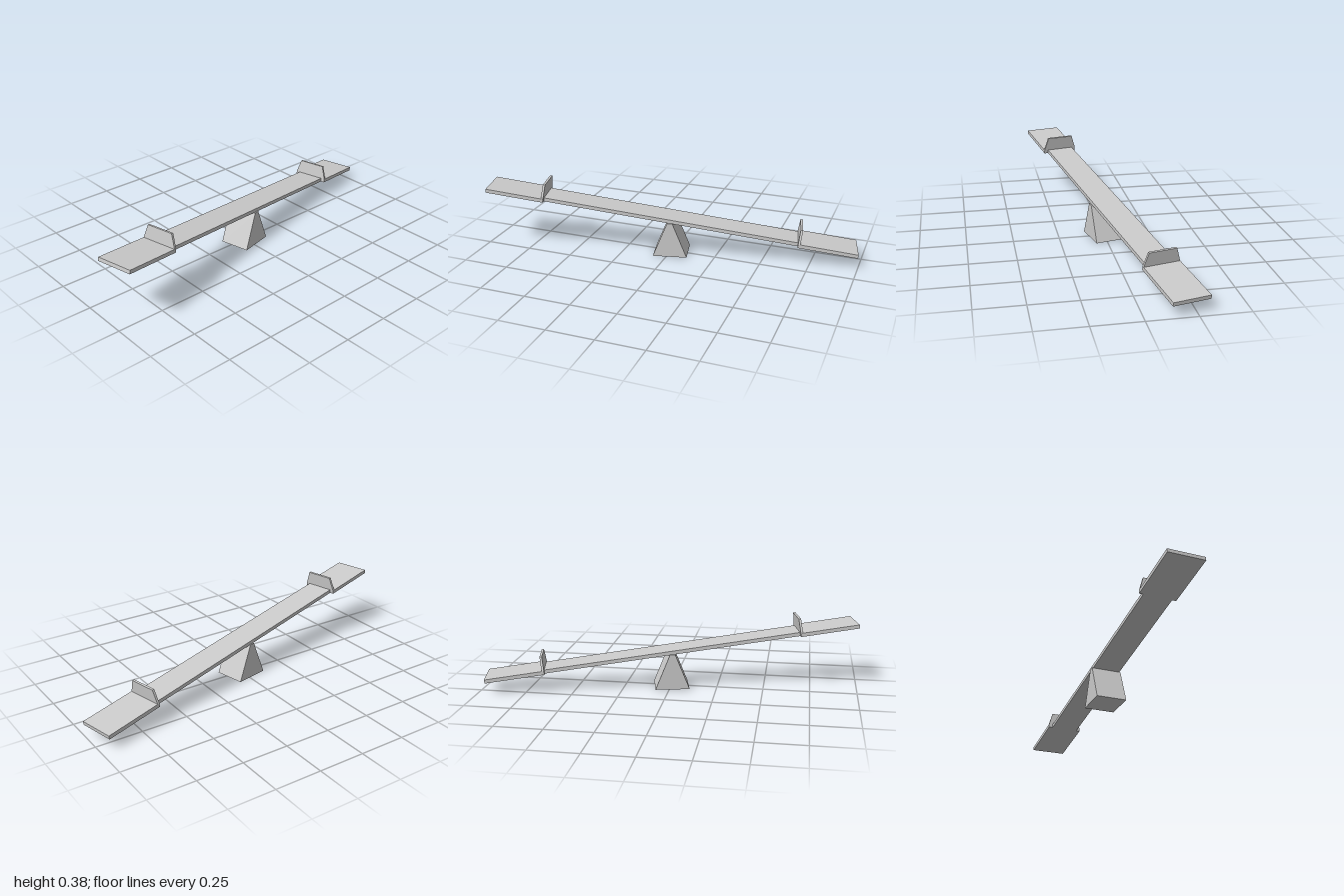
import * as THREE from 'three';

const material = new THREE.MeshStandardMaterial({ color: 0xcccccc, flatShading: true });

// Extrudes an outline along z, centred on z = 0
function slab(name, points, depth) {
  const shape = new THREE.Shape(points.map(([x, y]) => new THREE.Vector2(x, y)));
  const geometry = new THREE.ExtrudeGeometry(shape, { depth, bevelEnabled: false });
  geometry.translate(0, 0, -depth / 2);
  const mesh = new THREE.Mesh(geometry, material);
  mesh.name = name;
  return mesh;
}

export function createModel() {
  const model = new THREE.Group();
  model.name = 'seesaw';
  model.rotation.y = 0.222;

  // Wedge support with a narrow flat top
  const baseHalf = 0.0925, topHalf = 0.014;
  model.add(slab('support', [
    [-baseHalf, 0], [baseHalf, 0], [topHalf, 0.195], [-topHalf, 0.195],
  ], 0.165));

  // Tilting beam: its origin is the middle of the plank's top face
  const beam = new THREE.Group();
  beam.name = 'beam';
  beam.position.y = 0.214;
  beam.rotation.z = -0.133;
  model.add(beam);

  // Plank, widened at both ends into seats
  const thickness = 0.02, end = 1.012, seatStart = 0.692;
  const seatHalf = 0.0975, plankHalf = 0.076;
  const edge = [
    [-end, -seatHalf], [-seatStart, -seatHalf], [-seatStart, -plankHalf],
    [seatStart, -plankHalf], [seatStart, -seatHalf], [end, -seatHalf],
  ];
  const plank = slab('plank', [...edge, ...edge.map(([x, y]) => [-x, -y])], thickness);
  plank.rotation.x = -Math.PI / 2;
  plank.position.y = -thickness / 2;
  beam.add(plank);

  // Tapered upright at the inner edge of each seat
  for (const side of [-1, 1]) {
    const depth = 0.012;
    const upright = slab(side > 0 ? 'leftUpright' : 'rightUpright', [
      [-seatHalf, -0.001], [seatHalf, -0.001], [0.074, 0.074], [-0.074, 0.074],
    ], depth);
    upright.rotation.y = Math.PI / 2;
    upright.position.x = side * (seatStart + depth / 2);
    beam.add(upright);
  }

  const root = new THREE.Group();
  root.add(model);
  return root;
}
